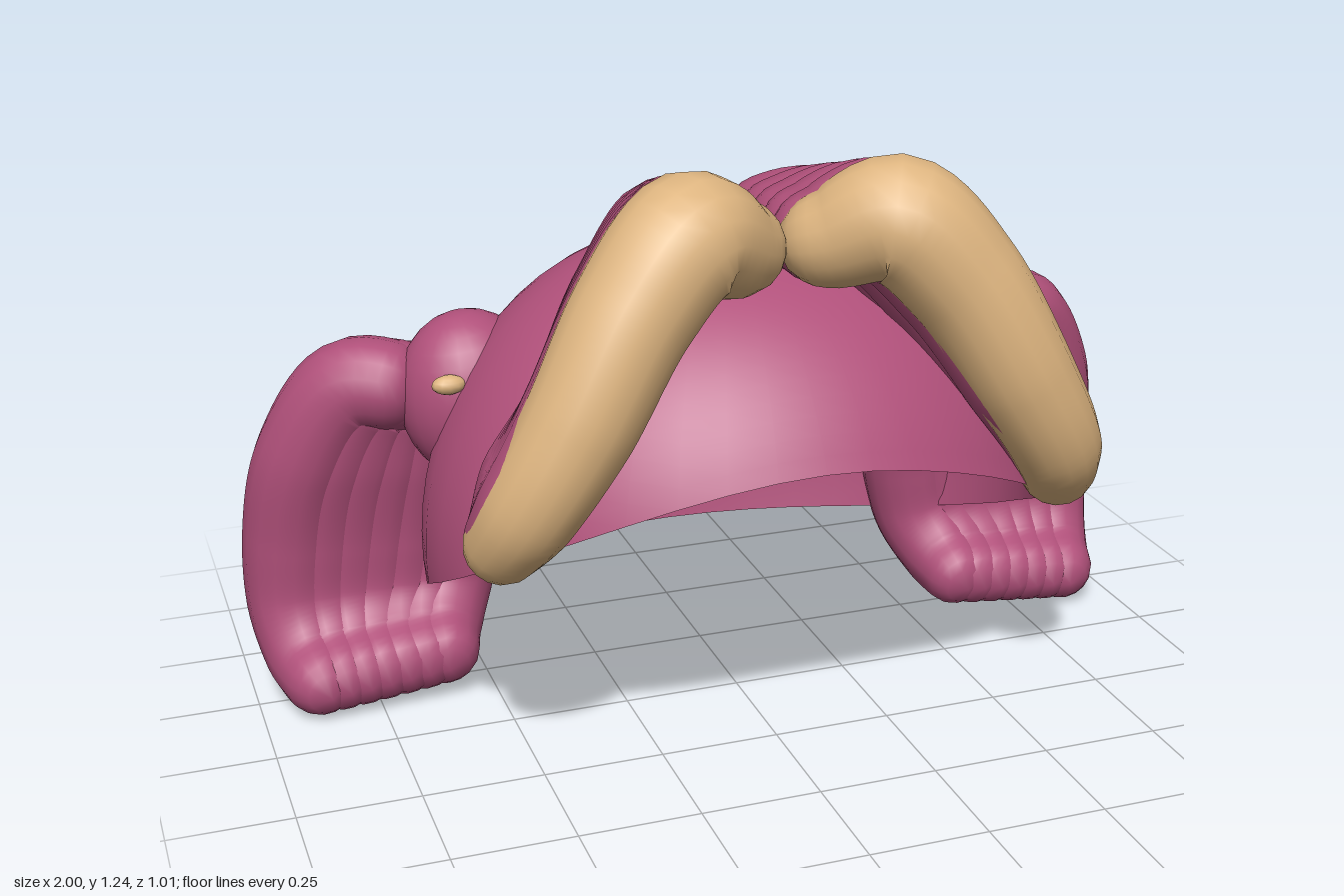
import * as THREE from 'three';
import { mergeVertices } from 'three/addons/utils/BufferGeometryUtils.js';

const lerp = THREE.MathUtils.lerp;

function smooth(geo) {
  geo.deleteAttribute('uv');
  geo.deleteAttribute('normal');
  const merged = mergeVertices(geo, 1e-5);
  merged.computeVertexNormals();
  return merged;
}

// Rounded lock of hair: a tube whose radius varies along its path
function lockGeometry(points, radii, round, rings = 48, sides = 16) {
  const curve = new THREE.CatmullRomCurve3(points.map(p => new THREE.Vector3(...p)));
  const geo = new THREE.TubeGeometry(curve, rings, 1, sides);
  const pos = geo.attributes.position;
  const v = new THREE.Vector3();
  for (let i = 0; i <= rings; i++) {
    const u = i / rings;
    const f = curve.getUtoTmapping(u) * (radii.length - 1);
    const k = Math.min(Math.floor(f), radii.length - 2);
    const end = 1 - Math.min(1, Math.min(u, 1 - u) / round);
    const r = lerp(radii[k], radii[k + 1], f - k) * Math.sqrt(1 - end * end);
    const c = curve.getPointAt(u);
    for (let j = 0; j <= sides; j++) {
      const n = i * (sides + 1) + j;
      v.fromBufferAttribute(pos, n).sub(c).multiplyScalar(r).add(c);
      pos.setXYZ(n, v.x, v.y, v.z);
    }
  }
  return smooth(geo);
}

// Open dome whose rim rises from the nape to the forehead
function capGeometry() {
  const rows = 18, cols = 40;
  const geo = new THREE.SphereGeometry(1, cols, rows, 0, Math.PI * 2, 0, 2);
  const pos = geo.attributes.position;
  for (let row = 0; row <= rows; row++) {
    for (let col = 0; col <= cols; col++) {
      const a = (col / cols) * Math.PI * 2;
      const zr = 0.5 * Math.cos(a);
      const rim = 0.345 + 0.48 * zr + 0.4 * zr * zr;
      const phi = (row / rows) * Math.acos((rim - 0.4) / 0.63);
      const r = Math.pow(Math.sin(phi), 0.85);
      const c = Math.cos(phi);
      const depth = Math.cos(a) > 0 ? 0.575 : 0.505;
      pos.setXYZ(row * (cols + 1) + col,
        0.67 * r * Math.sin(a),
        0.4 + 0.63 * c,
        depth * r * Math.cos(a) - 0.06 * Math.max(0, c) ** 2);
    }
  }
  return smooth(geo);
}

export function createModel() {
  const hair = new THREE.MeshStandardMaterial({ color: 0xb0507a });
  hair.name = 'rose hair';
  const capHair = new THREE.MeshStandardMaterial({ color: 0xb0507a, side: THREE.DoubleSide });
  capHair.name = 'rose hair open shell';
  const blond = new THREE.MeshStandardMaterial({ color: 0xdeb580 });
  blond.name = 'blond streak';

  const model = new THREE.Group();
  model.name = 'hairpiece';
  const add = (parent, name, geo, mat) => {
    const mesh = new THREE.Mesh(geo, mat);
    mesh.name = name;
    parent.add(mesh);
    return mesh;
  };

  add(model, 'cap', capGeometry(), capHair);

  // Fringe runs between a front path and a back path
  const fringeFront = [[0.01, 1.05, 0.21], [0.1, 1.075, 0.27], [0.21, 1.115, 0.325],
    [0.33, 1.0, 0.365], [0.45, 0.8, 0.395], [0.55, 0.63, 0.375], [0.61, 0.49, 0.275]];
  const fringeBack = [[0.03, 1.0, -0.11], [0.09, 1.035, -0.06], [0.17, 1.05, 0.015],
    [0.29, 0.93, 0.12], [0.44, 0.78, 0.29], [0.54, 0.67, 0.31], [0.6, 0.56, 0.29]];
  const frontRadii = [0.07, 0.1, 0.13, 0.12, 0.11, 0.095, 0.065];
  const backRadii = [0.075, 0.09, 0.1, 0.105, 0.09, 0.08, 0.05];
  const swell = [0, 0, 0, 0.002, 0.006, 0.004, 0];

  // Pigtail locks run between an inner path and an outer path
  const tailInner = [[0.52, 0.7, -0.2], [0.53, 0.63, -0.27], [0.52, 0.5, -0.3],
    [0.54, 0.33, -0.325], [0.565, 0.21, -0.315], [0.6, 0.125, -0.24], [0.61, 0.085, -0.11]];
  const tailOuter = [[0.62, 0.7, -0.16], [0.76, 0.71, -0.23], [0.86, 0.55, -0.28],
    [0.895, 0.35, -0.32], [0.9, 0.2, -0.315], [0.885, 0.1, -0.24], [0.865, 0.07, -0.09]];
  const tailRadii = [0.09, 0.1, 0.105, 0.105, 0.1, 0.09, 0.065];

  const blend = (a, b, t, side) => a.map((p, i) => [
    side * lerp(p[0], b[i][0], t), lerp(p[1], b[i][1], t), lerp(p[2], b[i][2], t)]);

  for (const side of [1, -1]) {
    const label = side > 0 ? 'left' : 'right';

    // Fringe: one blond lock in front, rose locks layered behind
    const fringe = new THREE.Group();
    fringe.name = label + 'Fringe';
    model.add(fringe);
    [0, 0.16, 0.37, 0.58, 0.79, 1].forEach((t, i) => {
      const radii = frontRadii.map((r, k) => lerp(r, backRadii[k], t) + (i ? swell[k] : 0));
      add(fringe, i ? 'fringeLock' : 'fringeStreak',
        lockGeometry(blend(fringeFront, fringeBack, t, side), radii, 0.075),
        i ? hair : blond);
    });

    // Bun at the root of the pigtail, with bits of the tie showing
    const pigtail = new THREE.Group();
    pigtail.name = label + 'Pigtail';
    model.add(pigtail);
    const bun = add(pigtail, 'bun', new THREE.SphereGeometry(1, 24, 16), hair);
    bun.scale.set(0.155, 0.185, 0.14);
    bun.position.set(side * 0.525, 0.687, -0.15);
    bun.rotation.z = -side * 0.15;
    const ties = [
      { at: [0.6, 0.757, -0.032], size: [0.035, 0.02, 0.022] },
      { at: [0.5, 0.765, -0.28], size: [0.055, 0.012, 0.018] },
    ];
    for (const { at, size } of ties) {
      const tie = add(pigtail, 'hairTie', new THREE.SphereGeometry(1, 12, 8), blond);
      tie.scale.set(...size);
      tie.position.set(side * at[0], at[1], at[2]);
    }

    // Locks side by side, curling forward at the tips
    for (let i = 0; i < 7; i++) {
      add(pigtail, 'pigtailLock',
        lockGeometry(blend(tailInner, tailOuter, i / 6, side), tailRadii, 0.08), hair);
    }
  }
  return model;
}
